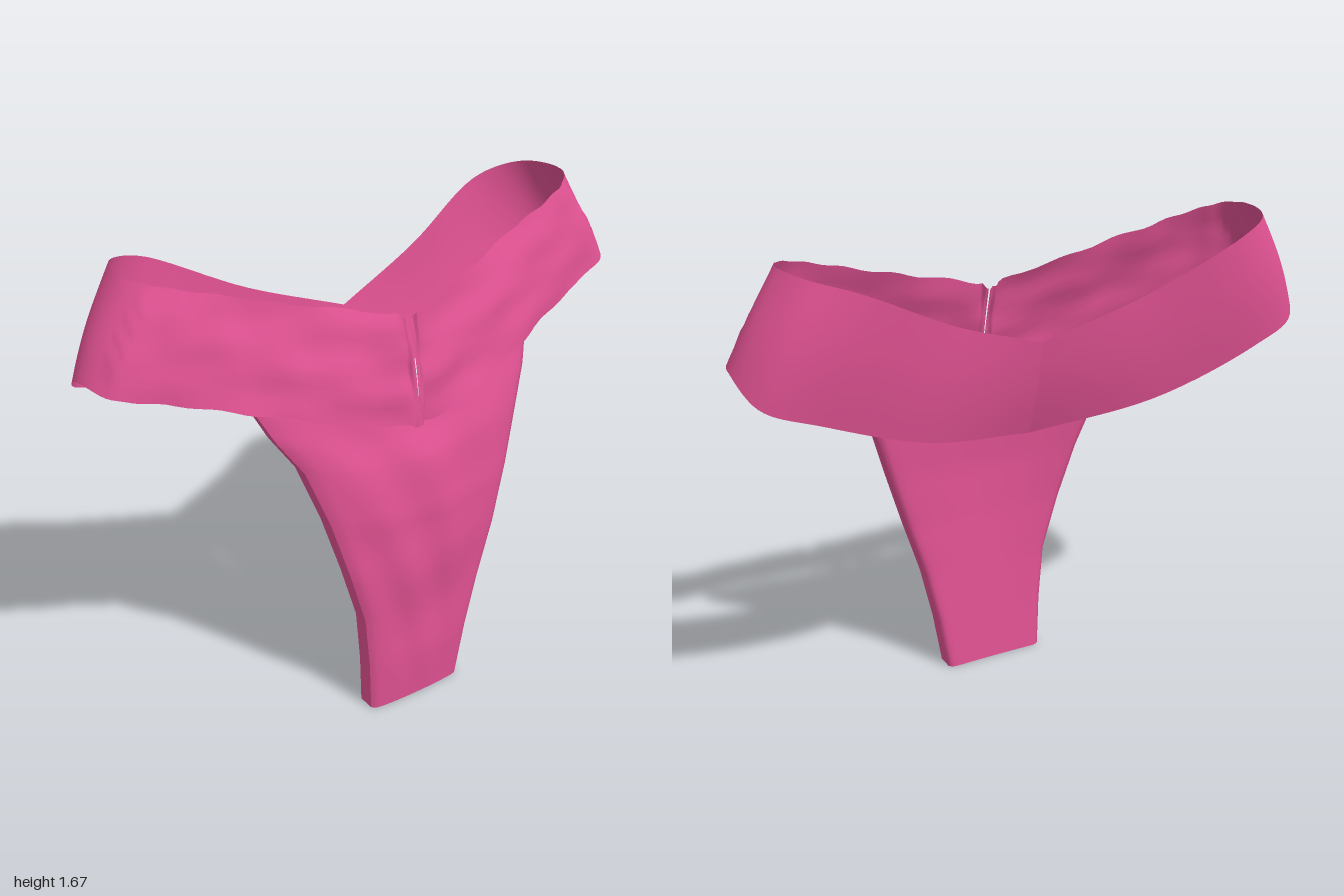
import * as THREE from 'three';

const pink = new THREE.MeshStandardMaterial({ color: 0xe05292, side: THREE.DoubleSide });
pink.name = 'pink fabric';

// Smooth surface from a grid of points: fn(i / cols, j / rows) -> [x, y, z]
function sheet(name, cols, rows, fn, flip = false) {
  const pos = [], idx = [];
  for (let i = 0; i <= cols; i++)
    for (let j = 0; j <= rows; j++) pos.push(...fn(i / cols, j / rows));
  for (let i = 0; i < cols; i++)
    for (let j = 0; j < rows; j++) {
      const a = i * (rows + 1) + j, b = a + rows + 1;
      if (flip) idx.push(a, a + 1, b, b, a + 1, b + 1);
      else idx.push(a, b, a + 1, b, b + 1, a + 1);
    }
  const g = new THREE.BufferGeometry();
  g.setAttribute('position', new THREE.Float32BufferAttribute(pos, 3));
  g.setIndex(idx);
  g.computeVertexNormals();
  const mesh = new THREE.Mesh(g, pink);
  mesh.name = name;
  return mesh;
}

const curve = pts => new THREE.CatmullRomCurve3(pts.map(p => new THREE.Vector3(...p)));

// Upper and lower edges of half the band, from front centre round to back centre
const topEdge = curve([
  [0.003, 1.42, 0.185], [0.03, 1.44, 0.182], [0.3, 1.52, 0.13], [0.55, 1.595, 0.07],
  [0.72, 1.645, 0.03], [0.81, 1.67, -0.03], [0.835, 1.675, -0.11], [0.79, 1.665, -0.24],
  [0.65, 1.62, -0.305], [0.33, 1.46, -0.245], [0, 1.34, -0.18]]);
const lowEdge = curve([
  [0, 1.07, 0.25], [0.03, 1.08, 0.25], [0.3, 1.16, 0.225], [0.57, 1.25, 0.155],
  [0.8, 1.32, 0.085], [0.95, 1.36, 0.035], [0.995, 1.375, -0.1], [0.95, 1.295, -0.22],
  [0.78, 1.23, -0.26], [0.42, 1.09, -0.21], [0, 1.0, -0.09]]);

function halfBand(name, side) {
  return sheet(name, 72, 12, (u, v) => {
    const p = topEdge.getPoint(u).lerp(lowEdge.getPoint(u), v);
    // gentle bulge, plus irregular crumples that fade out towards the back
    const front = Math.max(0, 1 - u * 1.6) * Math.min(1, u * 12);
    const crumple = Math.sin(u * 37 + v * 4 + side) * Math.sin(v * 7 - u * 19)
      + 0.7 * Math.sin(u * 61 - v * 9 + side * 2) * Math.sin(v * 11 + u * 31);
    const bulge = Math.sin(v * Math.PI) * 0.01;
    return [
      side * p.x * (1 + bulge),
      p.y + 0.006 * front * Math.sin(u * 83 + side),
      p.z + crumple * 0.011 * front + bulge * Math.sign(p.z)];
  }, side > 0);
}

// Panel rows: y, right edge x, left edge x, edge back z, edge front z, centre back z, centre front z
const rows = [
  [0.01, -0.19, 0.18, 0.172, 0.258, 0.175, 0.268],
  [0.2, -0.2, 0.21, 0.18, 0.265, 0.185, 0.28],
  [0.4, -0.22, 0.255, 0.187, 0.268, 0.195, 0.283],
  [0.6, -0.275, 0.32, 0.178, 0.262, 0.205, 0.292],
  [0.8, -0.33, 0.385, 0.15, 0.24, 0.21, 0.3],
  [1.0, -0.4, 0.45, 0.115, 0.205, 0.2, 0.262],
  [1.12, -0.48, 0.5, 0.095, 0.17, 0.19, 0.235],
  [1.24, -0.54, 0.54, 0.075, 0.125, 0.18, 0.215],
  [1.31, -0.55, 0.55, 0.065, 0.09, 0.175, 0.2]];

// Interpolated panel row
function rowAt(t) {
  const f = t * (rows.length - 1), i = Math.min(Math.floor(f), rows.length - 2);
  return rows[i].map((n, k) => THREE.MathUtils.lerp(n, rows[i + 1][k], f - i));
}

// Point on the panel: s runs -1..1 across, w is 0 at the back and 1 at the front
function panelPoint(t, s, w) {
  const [y, xr, xl, eb, ef, cb, cf] = rowAt(t);
  const x = THREE.MathUtils.lerp(xr, xl, (s + 1) / 2);
  const back = THREE.MathUtils.lerp(cb, eb, s * s);
  const front = THREE.MathUtils.lerp(cf, ef, Math.pow(Math.abs(s), 2.4));
  const fold = Math.sin(y * 11 + s * 4) * Math.cos(s * 5 - y * 3) * (1 - s * s) * 0.014 * Math.sin(t * Math.PI);
  // the upper edge dips towards the middle
  const dip = 0.18 * t ** 3 * (1 - Math.abs(s) ** 1.5);
  return [x, y - dip, THREE.MathUtils.lerp(back, front + fold, w)];
}

// Rounding of the panel's long edges, as a share of its thickness
const inset = s => 0.15 * Math.abs(s) ** 20;

// Once round the panel: front, left edge, back, right edge
function panelRing(u, v) {
  const q = (u % 1) * 2, face = q < 1 ? 1 : -1, f = q % 1;
  if (f > 0.9) return panelPoint(v, face, 0.5 + face * (0.35 - 7 * (f - 0.9)));
  const s = face * (f / 0.45 - 1);
  return panelPoint(v, s, 0.5 + face * (0.5 - inset(s)));
}

// Closes the panel at its lower (t = 0) or upper (t = 1) end
function panelCap(name, t) {
  return sheet(name, 36, 2, (u, v) => {
    const s = u * 2 - 1;
    return panelPoint(t, s, THREE.MathUtils.lerp(inset(s), 1 - inset(s), v));
  }, t === 1);
}

export function createModel() {
  const model = new THREE.Group();
  model.name = 'garment';

  // Waistband
  const band = new THREE.Group();
  band.name = 'waistband';
  band.add(halfBand('leftBand', 1), halfBand('rightBand', -1));
  model.add(band);

  // Front panel
  const panel = new THREE.Group();
  panel.name = 'frontPanel';
  panel.add(sheet('panelBody', 80, 40, panelRing), panelCap('panelHem', 0), panelCap('panelTop', 1));
  model.add(panel);

  return model;
}
